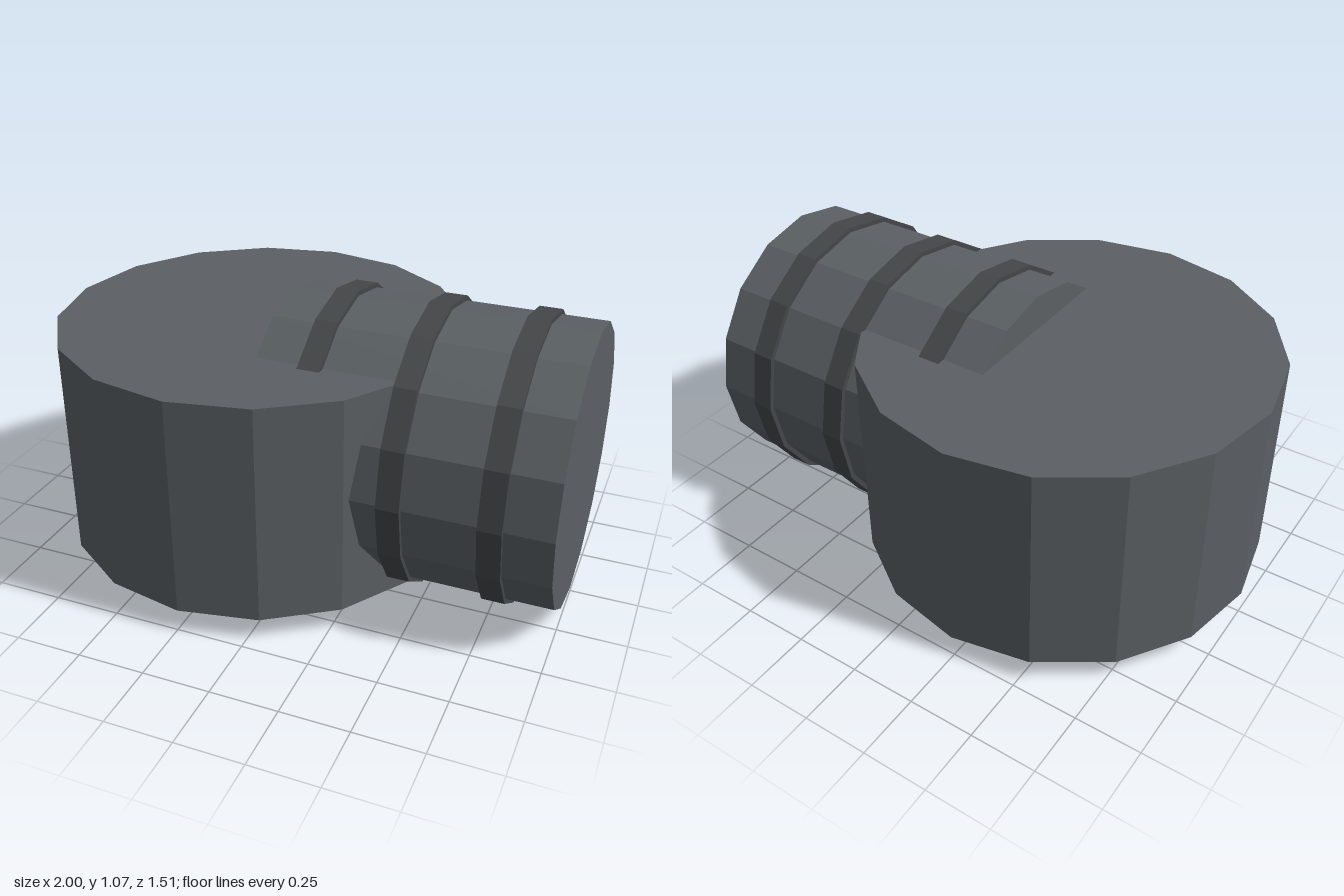
import * as THREE from 'three';

const SIDES = 16;

export function createModel() {
  const model = new THREE.Group();
  model.name = 'drumWithBarrel';
  const bodyMat = new THREE.MeshStandardMaterial({ color: 0x5b6064, flatShading: true });
  const bandMat = new THREE.MeshStandardMaterial({ color: 0x444648, flatShading: true });

  const addCylinder = (parent, name, radius, length, material) => {
    const mesh = new THREE.Mesh(new THREE.CylinderGeometry(radius, radius, length, SIDES), material);
    mesh.name = name;
    parent.add(mesh);
    return mesh;
  };

  // Upright drum
  addCylinder(model, 'drum', 0.757, 0.825, bodyMat).position.set(-0.243, 0.503, 0);

  // Sideways barrel, its inner end sunk into the drum
  const barrel = new THREE.Group();
  barrel.name = 'barrelAssembly';
  barrel.position.y = 0.535;
  model.add(barrel);
  const tube = addCylinder(barrel, 'barrel', 0.517, 1.105, bodyMat);
  tube.rotation.z = -Math.PI / 2;
  tube.position.x = 0.4475;

  // Three raised bands around the barrel
  for (let i = 0; i < 3; i++) {
    const band = addCylinder(barrel, 'band' + (i + 1), 0.535, 0.083, bandMat);
    band.rotation.z = -Math.PI / 2;
    band.position.x = 0.1 + i * 0.345;
  }

  return model;
}
